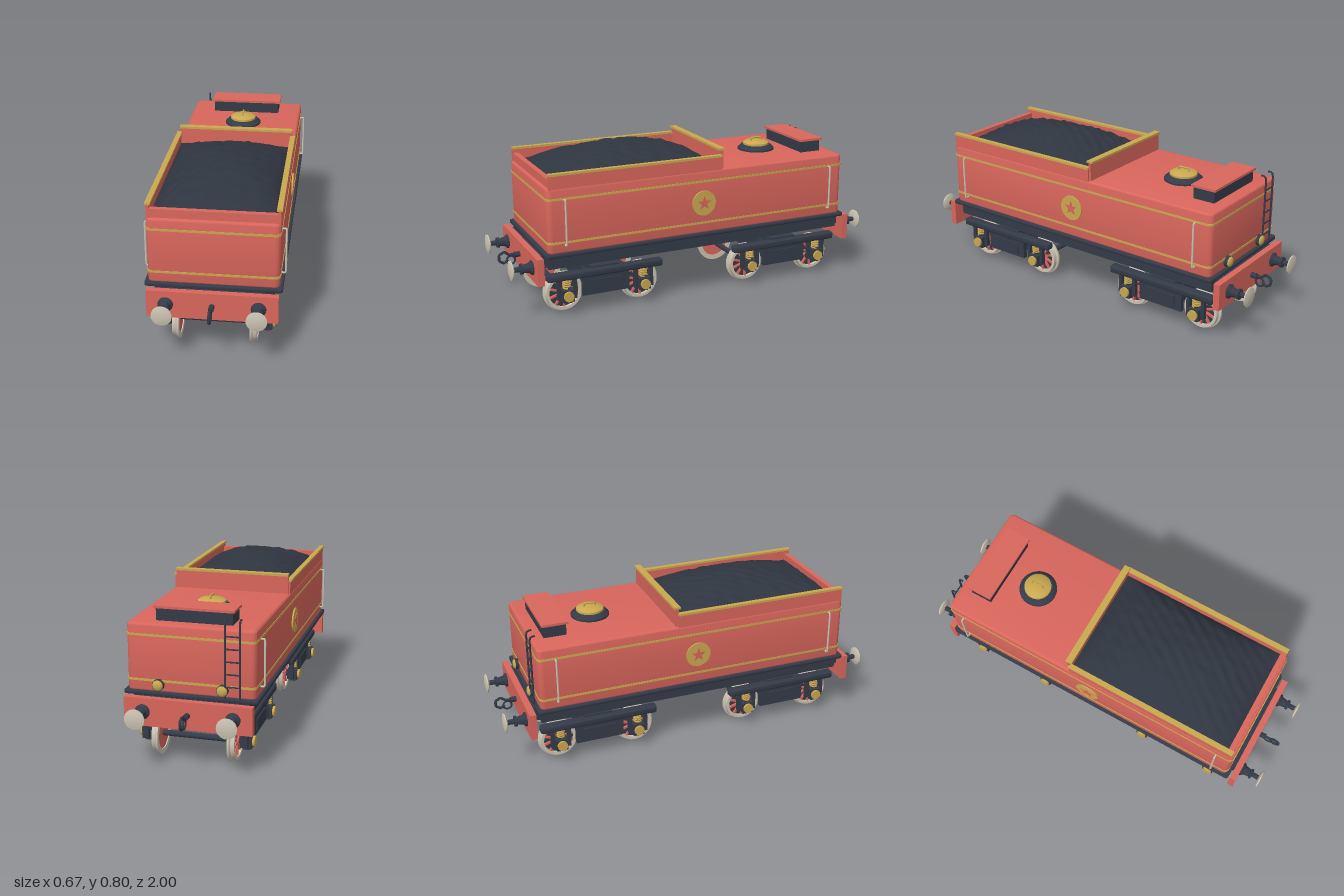
import * as THREE from 'three';
import { toCreasedNormals } from 'three/addons/utils/BufferGeometryUtils.js';

const paint = (name, color) => Object.assign(new THREE.MeshStandardMaterial({ color }), { name });

export function createModel() {
  const root = new THREE.Group();
  root.name = 'tender';
  const red = paint('red paint', 0xd9665c);
  const dark = paint('dark iron', 0x343b48);
  const gold = paint('brass', 0xc9a84f);
  const cream = paint('pale steel', 0xcdc5b4);
  const coalMat = paint('coal', 0x2f3540);

  const add = (parent, name, geo, mat, x = 0, y = 0, z = 0) => {
    const m = new THREE.Mesh(geo, mat);
    m.name = name;
    m.position.set(x, y, z);
    parent.add(m);
    return m;
  };
  const group = (parent, name, x = 0, y = 0, z = 0) => {
    const g = new THREE.Group();
    g.name = name;
    g.position.set(x, y, z);
    parent.add(g);
    return g;
  };
  // box given by its limits
  const box = (parent, name, mat, x0, x1, y0, y1, z0, z1) =>
    add(parent, name, new THREE.BoxGeometry(x1 - x0, y1 - y0, z1 - z0), mat, (x0 + x1) / 2, (y0 + y1) / 2, (z0 + z1) / 2);
  const cylX = (r, l, n = 24) => new THREE.CylinderGeometry(r, r, l, n).rotateZ(Math.PI / 2);
  const cylZ = (r, l, n = 24) => new THREE.CylinderGeometry(r, r, l, n).rotateX(Math.PI / 2);
  const tube = (pts, r, n = 24) =>
    new THREE.TubeGeometry(new THREE.CatmullRomCurve3(pts.map(p => new THREE.Vector3(...p)), false, 'catmullrom', 0.1), n, r, 8);
  const lathe = pts => toCreasedNormals(new THREE.LatheGeometry(pts.map(p => new THREE.Vector2(...p)), 28), 0.6);

  // upright slab with a rounded rectangular plan
  const slab = (hx, hz, r, h, bevel = 0) => {
    const s = new THREE.Shape(), a = hx - bevel, b = hz - bevel;
    [[a - r, b - r, 0], [r - a, b - r, 0.5], [r - a, r - b, 1], [a - r, r - b, 1.5]].forEach(([x, y, t]) =>
      s.absarc(x, y, r, t * Math.PI, (t + 0.5) * Math.PI, false));
    const g = new THREE.ExtrudeGeometry(s, {
      depth: h - 2 * bevel, curveSegments: 6, bevelEnabled: bevel > 0, bevelSize: bevel, bevelThickness: bevel, bevelSegments: 3
    });
    return toCreasedNormals(g.translate(0, 0, bevel).rotateX(-Math.PI / 2), 0.6);
  };

  // underframe and tank
  box(root, 'underframe', dark, -0.28, 0.28, 0.265, 0.336, -0.82, 0.82);
  add(root, 'footplate', slab(0.325, 0.842, 0.01, 0.02, 0.005), dark, 0, 0.334, 0);
  add(root, 'tank', slab(0.311, 0.826, 0.015, 0.33, 0.012), red, 0, 0.348, 0);
  for (const y of [0.4, 0.618]) add(root, 'liningBand', slab(0.3135, 0.8285, 0.025, 0.011), gold, 0, y, 0);

  // coal space
  for (const s of [1, -1]) {
    add(root, 'coalSideWall', new THREE.BoxGeometry(0.014, 0.07, 0.92), red, s * 0.302, 0.705, 0.355);
    add(root, 'sideWallTrim', new THREE.BoxGeometry(0.026, 0.011, 0.92), gold, s * 0.302, 0.744, 0.355);
  }
  box(root, 'coalFrontWall', red, -0.297, 0.297, 0.67, 0.72, 0.785, 0.812);
  box(root, 'bulkhead', red, -0.3, 0.3, 0.67, 0.772, -0.115, -0.1);
  box(root, 'bulkheadTrim', gold, -0.3, 0.3, 0.77, 0.781, -0.124, -0.09);

  const coal = new THREE.PlaneGeometry(0.59, 0.89, 30, 44).rotateX(-Math.PI / 2);
  const p = coal.attributes.position;
  for (let i = 0; i < p.count; i++) {
    const x = p.getX(i), z = p.getZ(i), u = x / 0.295, v = z / 0.445;
    const dome = Math.pow(Math.max(0, (1 - u * u) * (1 - v * v)), 0.7);
    const lumps = Math.sin(x * 41 + 2 * Math.sin(z * 23)) * Math.sin(z * 37 + 2 * Math.sin(x * 29)) + 0.5 * Math.sin(x * 97 + z * 71);
    p.setY(i, 0.684 + 0.115 * dome + 0.006 * lumps * Math.min(1, dome * 3));
  }
  coal.computeVertexNormals();
  add(root, 'coalHeap', coal, coalMat, 0, 0, 0.343);

  // water filler and tool box on the tank top
  const filler = group(root, 'waterFiller', 0, 0.675, -0.47);
  add(filler, 'fillerBase', lathe([[0.098, 0], [0.098, 0.012], [0.078, 0.03], [0, 0.03]]), dark);
  add(filler, 'fillerLid', lathe([[0.07, 0.028], [0.07, 0.04], [0.055, 0.05], [0, 0.054]]), gold);
  add(filler, 'fillerHandle', tube([[0, 0.045, -0.03], [0, 0.066, -0.027], [0, 0.066, 0.027], [0, 0.045, 0.03]], 0.005), gold);
  box(root, 'toolBox', dark, -0.185, 0.185, 0.672, 0.738, -0.76, -0.645);
  box(root, 'toolBoxLid', red, -0.195, 0.195, 0.738, 0.75, -0.77, -0.635);

  // side badges and handrails
  const star = new THREE.Shape();
  for (let i = 0; i < 10; i++) {
    const a = Math.PI / 2 + i * Math.PI / 5, r = i % 2 ? 0.016 : 0.04;
    star[i ? 'lineTo' : 'moveTo'](r * Math.cos(a), r * Math.sin(a));
  }
  star.closePath();
  const starGeo = new THREE.ExtrudeGeometry(star, { depth: 0.004, bevelEnabled: false });
  for (const s of [1, -1]) {
    const badge = group(root, 'sideBadge', s * 0.311, 0.51, 0);
    badge.rotation.y = s * Math.PI / 2;
    add(badge, 'badgeDisc', cylZ(0.065, 0.008, 32), gold, 0, 0, 0.004);
    add(badge, 'badgeStar', starGeo, red, 0, 0, 0.007);
    for (const z of [0.74, -0.74])
      add(root, 'handrail', tube([[s * 0.308, 0.393, z], [s * 0.331, 0.395, z], [s * 0.331, 0.617, z], [s * 0.308, 0.619, z]], 0.005, 40), cream);
  }

  // rear ladder and lamps
  const ladder = group(root, 'rearLadder', -0.205, 0, 0);
  for (const x of [-0.035, 0.035])
    add(ladder, 'ladderRail', tube([[x, 0.354, -0.842], [x, 0.7, -0.842], [x, 0.725, -0.835], [x, 0.725, -0.815]], 0.005, 30), dark);
  for (let i = 0; i < 5; i++) add(ladder, 'ladderRung', cylX(0.004, 0.07, 8), dark, 0, 0.41 + i * 0.06, -0.842);
  for (const x of [-0.155, 0.155]) {
    add(root, 'lampBody', cylZ(0.028, 0.02), dark, x, 0.387, -0.834);
    add(root, 'lampLens', new THREE.SphereGeometry(0.026, 18, 12).scale(1, 1, 0.5), gold, x, 0.387, -0.844);
  }

  // buffer beams, buffers and hooks at both ends
  for (const end of [0, 1]) {
    const g = group(root, end ? 'rearEnd' : 'frontEnd');
    g.rotation.y = end * Math.PI;
    box(g, 'bufferBeam', red, -0.31, 0.31, 0.197, 0.334, 0.85, 0.883);
    box(g, 'beamSupport', dark, -0.25, 0.25, 0.268, 0.332, 0.8, 0.852);
    for (const x of [-0.218, 0.218]) {
      const b = group(g, 'buffer', x, 0.268, 0.88);
      add(b, 'bufferStock', lathe([[0.036, 0], [0.036, 0.01], [0.025, 0.02], [0.02, 0.05], [0.027, 0.052], [0.027, 0.064], [0.013, 0.066], [0.013, 0.102]]).rotateX(Math.PI / 2), dark);
      add(b, 'bufferHead', lathe([[0, 0.1], [0.03, 0.1], [0.049, 0.108], [0.049, 0.114], [0.03, 0.119], [0, 0.12]]).rotateX(Math.PI / 2), cream);
    }
    add(g, 'hookBoss', cylZ(0.014, 0.04, 12), dark, 0, 0.268, 0.895);
    add(g, 'drawHook', tube([[0, 0.268, 0.88], [0, 0.272, 0.94], [0, 0.29, 0.962], [0, 0.275, 0.99], [0, 0.245, 0.99], [0, 0.23, 0.965], [0, 0.245, 0.945]], 0.007), dark);
    add(g, 'hookLink', new THREE.TorusGeometry(0.022, 0.005, 8, 18).rotateY(Math.PI / 2), dark, 0, 0.242, 0.93);
  }

  // wheel facing +x: flanged tyre, red web inside, spokes outside
  const tyreGeo = lathe([[0.078, -0.017], [0.104, -0.017], [0.104, -0.007], [0.095, -0.002], [0.093, 0.017], [0.078, 0.017], [0.078, -0.017]]).rotateZ(-Math.PI / 2);
  const spokeGeo = new THREE.BoxGeometry(0.012, 0.068, 0.01).translate(0, 0.046, 0);
  const makeWheel = (parent, side, z) => {
    const w = group(parent, 'wheel', side * 0.187, 0.105, z);
    if (side < 0) w.rotation.y = Math.PI;
    add(w, 'tyre', tyreGeo, cream);
    add(w, 'wheelWeb', cylX(0.08, 0.008), red, -0.008);
    add(w, 'wheelBacking', cylX(0.079, 0.004), dark, -0.002);
    for (let i = 0; i < 10; i++) add(w, 'spoke', spokeGeo, red, 0.006).rotation.x = i * Math.PI / 5;
    add(w, 'hub', cylX(0.022, 0.03), red, 0.004);
  };

  // bogies
  const coilPts = [];
  for (let i = 0; i <= 40; i++) {
    const a = i / 40 * Math.PI * 8;
    coilPts.push(new THREE.Vector3(0.017 * Math.cos(a), i / 40 * 0.045, 0.017 * Math.sin(a)));
  }
  const coilGeo = new THREE.TubeGeometry(new THREE.CatmullRomCurve3(coilPts), 80, 0.0045, 6);
  for (const zc of [0.515, -0.515]) {
    const b = group(root, 'bogie', 0, 0, zc);
    box(b, 'transom', dark, -0.235, 0.235, 0.105, 0.2, -0.085, 0.085);
    box(b, 'bolsterPad', dark, -0.24, 0.24, 0.195, 0.234, -0.075, 0.075);
    for (const dz of [-0.205, 0.205]) {
      add(b, 'axle', cylX(0.014, 0.44, 16), dark, 0, 0.105, dz);
      for (const s of [1, -1]) {
        makeWheel(b, s, dz);
        const j = group(b, 'axleBox', s * 0.245, 0.108, dz);
        add(j, 'boxBody', new THREE.BoxGeometry(0.056, 0.06, 0.06), dark);
        add(j, 'boxFoot', new THREE.BoxGeometry(0.034, 0.02, 0.04), dark, 0, -0.03, 0);
        add(j, 'boxCap', cylX(0.026, 0.014), gold, s * 0.033);
        for (const h of [-0.042, 0.042])
          add(j, 'hornGuide', new THREE.BoxGeometry(0.024, 0.105, 0.018), dark, 0, 0.032, h);
        add(j, 'springSeat', cylX(0.01, 0.02, 12), dark, 0, 0.035, 0);
        add(j, 'spring', coilGeo, gold, 0, 0.036, 0);
      }
    }
    for (const s of [1, -1]) {
      add(b, 'topBar', slab(0.025, 0.308, 0.006, 0.036, 0.008), dark, s * 0.245, 0.19, 0);
      add(b, 'sidePlate', new THREE.BoxGeometry(0.024, 0.1, 0.25), dark, s * 0.245, 0.142, 0);
      add(b, 'sidePanel', new THREE.BoxGeometry(0.012, 0.06, 0.17), dark, s * 0.258, 0.142, 0);
    }
  }
  return root;
}
